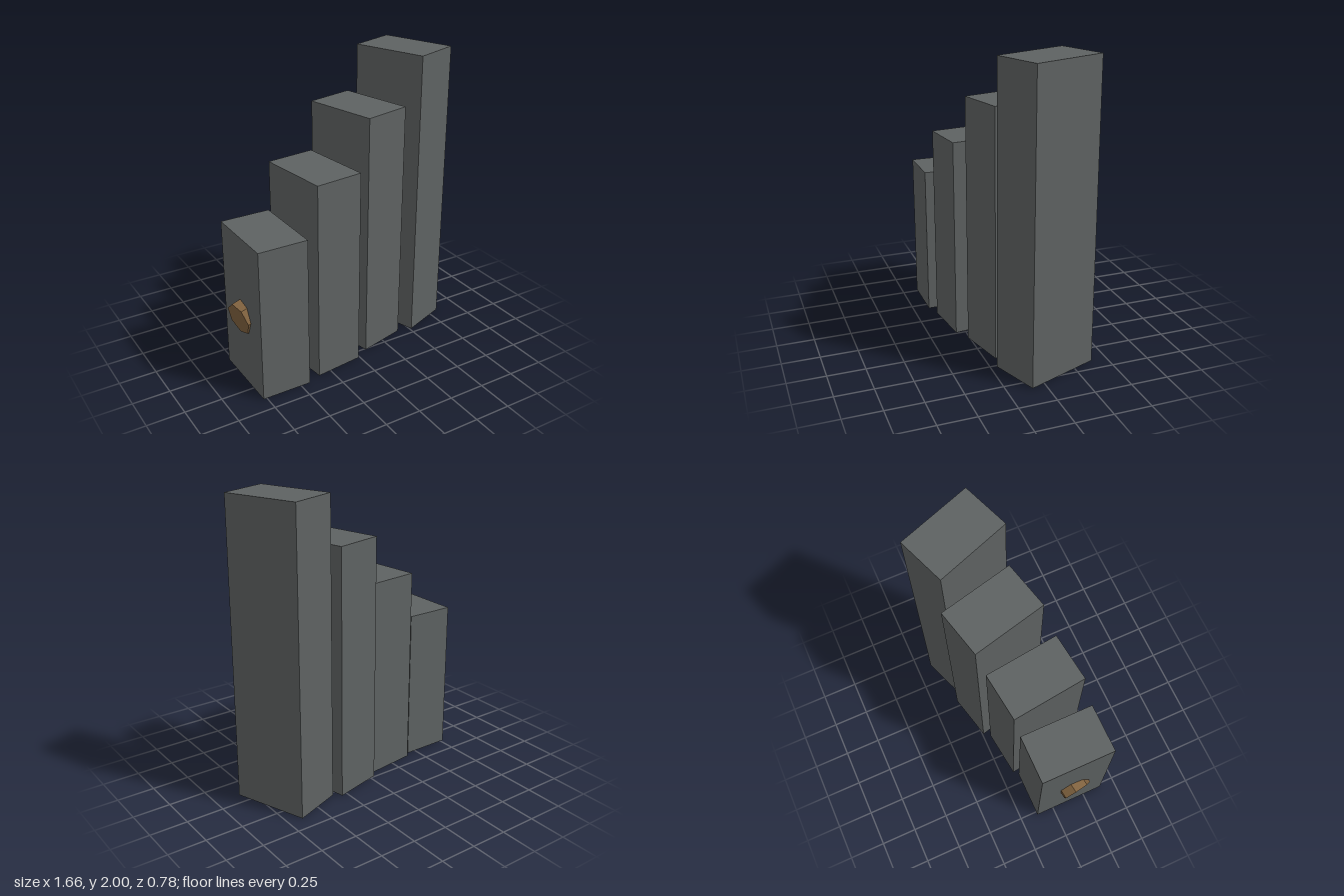
import * as THREE from 'three';

export function createModel() {
  const model = new THREE.Group();
  const stone = new THREE.MeshStandardMaterial({ color: 0x5e6262 });
  stone.name = 'grey stone';
  const wood = new THREE.MeshStandardMaterial({ color: 0x80623f });
  wood.name = 'brown wood';

  // Four pillars, each taller and turned further than the last: x, z, height, turn
  const pillars = [
    [-0.604, 0.132, 1.04, 0],
    [-0.207, 0.079, 1.36, 0.12],
    [0.188, -0.03, 1.68, 0.24],
    [0.583, -0.094, 2.0, 0.353],
  ];
  pillars.forEach(([x, z, height, turn], i) => {
    const pillar = new THREE.Mesh(new THREE.BoxGeometry(0.337, height, 0.516), stone);
    pillar.name = `pillar${i + 1}`;
    pillar.position.set(x, height / 2, z);
    pillar.rotation.y = turn;
    model.add(pillar);
  });

  // Seven-sided log running through the pillars, rising to the tall end
  const start = new THREE.Vector3(-0.808, 0.475, 0.145);
  const end = new THREE.Vector3(0.56, 0.762, -0.081);
  const along = end.clone().sub(start);
  const length = along.length();
  along.normalize();
  const side = new THREE.Vector3(0, 1, 0).cross(along).normalize();
  const up = along.clone().cross(side);

  const log = new THREE.Mesh(
    // the start angle sets which way the facets face
    new THREE.CylinderGeometry(0.11, 0.11, length, 7, 1, false, THREE.MathUtils.degToRad(176)).toNonIndexed(),
    wood
  );
  log.geometry.computeVertexNormals();
  log.name = 'crossLog';
  log.quaternion.setFromRotationMatrix(new THREE.Matrix4().makeBasis(up, along, side));
  log.position.copy(start).add(end).multiplyScalar(0.5);
  model.add(log);

  return model;
}
